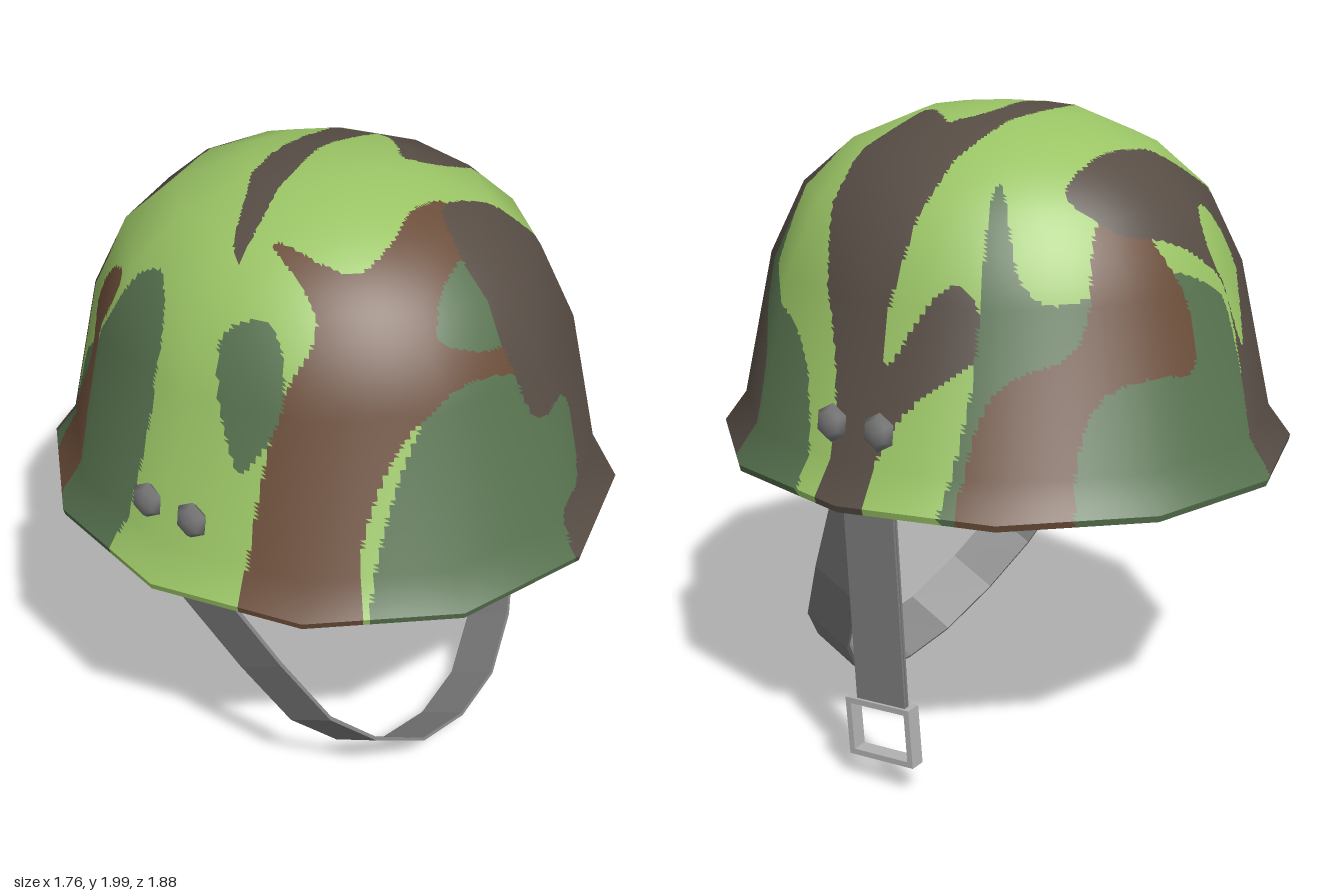
import * as THREE from 'three';

const mat = (name, color) => {
  const m = new THREE.MeshStandardMaterial({ color });
  m.name = name;
  return m;
};
const LIGHT = 0, GREEN = 1, BROWN = 2, DARK = 3;
const DEG = Math.PI / 180, SQUASH = 0.935, SIDES = 12;

// Dome profile from crown to rim: radius, height, then distance along the surface.
// The last point lies below the rim so that patches can run off the edge.
const PROFILE = [[0, 2], [0.26, 1.97], [0.48, 1.88], [0.645, 1.74], [0.76, 1.51], [0.865, 1.04], [0.94, 0.94], [0.94, 0]];
PROFILE.forEach((p, i) => {
  const q = PROFILE[i - 1];
  p[2] = i ? q[2] + Math.hypot(p[0] - q[0], p[1] - q[1]) : 0;
});

// Interpolates one profile column from another
function lookup(from, to, value) {
  const sign = from === 1 ? -1 : 1;
  for (let i = 1; i < PROFILE.length; i++) {
    const a = PROFILE[i - 1], b = PROFILE[i];
    if (sign * value <= sign * b[from] || i === PROFILE.length - 1) {
      const t = b[from] === a[from] ? 0 : (value - a[from]) / (b[from] - a[from]);
      return a[to] + (b[to] - a[to]) * Math.min(1, Math.max(0, t));
    }
  }
}

// Points on the dome, flattened to a disc: by angle (P), front (F), side (R) or plan (T) position
const flat = (angle, s) => [s * Math.sin(angle), s * Math.cos(angle)];
const clampAsin = (v) => Math.asin(Math.max(-1, Math.min(1, v)));
const place = {
  P: (deg, y) => flat(deg * DEG, lookup(1, 2, y)),
  F: (x, y) => flat(clampAsin(x / (SQUASH * lookup(1, 0, y))), lookup(1, 2, y)),
  R: (z, y) => flat(Math.PI / 2 - clampAsin(z / lookup(1, 0, y)), lookup(1, 2, y)),
  T: (x, z) => {
    const angle = Math.atan2(x / SQUASH, z);
    const part = ((angle / DEG + 360) % 30) - 15;
    const facet = Math.cos(15 * DEG) / Math.cos(part * DEG);
    return flat(angle, lookup(0, 2, Math.hypot(x / SQUASH, z) / facet));
  },
};

// Smooth closed camouflage patch
function patch(color, ...parts) {
  const pts = [];
  for (let i = 0; i < parts.length; i += 2) {
    const list = parts[i + 1];
    for (let k = 0; k < list.length; k += 2) {
      const [u, v] = place[parts[i]](list[k], list[k + 1]);
      pts.push(new THREE.Vector3(u, v, 0));
    }
  }
  const outline = new THREE.CatmullRomCurve3(pts, true, 'centripetal').getPoints(pts.length * 7);
  return { color, outline, box: new THREE.Box3().setFromPoints(outline) };
}

const frontPatches = () => [
  patch(GREEN, 'F', [0.33, 1.72], 'R', [0.54, 1.52, 0.24, 1.26, 0.2, 0.4], 'F', [0.3, 0.1, -0.66, 0.4, -0.4, 1.5]),
  patch(BROWN, 'P', [289, 0.5, 293, 1.5], 'T', [-0.5, 0.33, -0.4, 0.1, -0.34, 0.35, 0.05, 0.36],
    'F', [0.06, 1.52, -0.38, 1.52, -0.61, 1.05, -0.64, 0.5]),
  patch(GREEN, 'F', [-0.29, 1.7, -0.02, 1.83, 0.02, 1.66, -0.15, 1.62]),
  patch(DARK, 'T', [0, 0.4, 0.3, 0.47], 'R', [0.61, 1.39, 0.5, 1.18, 0.61, 0.5],
    'F', [0.02, 0.4, 0, 1.02, 0.2, 1.06, 0.2, 1.32, -0.06, 1.41]),
  // stripe over the crown and down to the rivets
  patch(DARK, 'T', [-0.48, 0.04, 0.08, -0.05, 0.26, 0.02, 0.14, 0.18],
    'R', [0.25, 1.7, 0.09, 1.18, 0.1, 0.5, -0.07, 0.5, -0.08, 1.07, -0.36, 1.4, -0.26, 1.57, -0.08, 1.33, -0.1, 1.82],
    'T', [-0.12, -0.15]),
];

const backPatches = () => [
  patch(GREEN, 'R', [-0.27, 1.83, -0.42, 1.58], 'T', [0.5, -0.5], 'P', [184, 1.4, 182, 0.3, 145, 0.3, 108, 0.5], 'R', [-0.34, 1.3]),
  patch(BROWN, 'P', [163, 1.65, 148, 1.74], 'R', [-0.58, 1.4, -0.38, 1.24, -0.36, 0.5, -0.6, 0.5, -0.63, 1.22], 'P', [168, 1.3]),
  patch(DARK, 'T', [0.3, -0.58, 0.34, -0.43, -0.12, -0.47], 'P', [209, 1.74, 211, 1.4, 209, 0.5, 182, 0.5, 187, 1.36, 176, 1.6]),
  patch(LIGHT, 'P', [191, 1.72, 203, 1.6, 193, 1.29, 182, 1.58]),
  patch(GREEN, 'P', [249, 1.76, 261, 1.4, 248, 0.5, 214, 0.5, 214, 1.25, 232, 1.46]),
  patch(BROWN, 'P', [218, 1.58, 233, 1.66, 231, 1.3, 236, 0.5, 213, 1.05, 224, 1.36]),
  patch(GREEN, 'P', [277, 1.68, 290, 1.73, 294, 1.5, 285, 1.32]),
];

function inside(outline, u, v) {
  let hit = false;
  for (let i = 0, j = outline.length - 1; i < outline.length; j = i++) {
    const a = outline[i], b = outline[j];
    if ((a.y > v) !== (b.y > v) && u < ((b.x - a.x) * (v - a.y)) / (b.y - a.y) + a.x) hit = !hit;
  }
  return hit;
}

// Sweeps a profile strip round the twelve sides, sorting triangles by colour
function sweep(strip, step, perSide, patches, buckets) {
  const segNormal = (i) => {
    const a = strip[i], b = strip[i + 1];
    return new THREE.Vector2(a[1] - b[1], b[0] - a[0]).normalize();
  };
  const normals = strip.map((p, i) => {
    const n = segNormal(Math.min(i, strip.length - 2));
    if (i > 0 && i < strip.length - 1) n.add(segNormal(i - 1));
    if (p[0] === 0) n.x = 0;
    return n.normalize();
  });
  const rows = [];
  for (let i = 0; i < strip.length - 1; i++) {
    const a = strip[i], b = strip[i + 1];
    const n = Math.max(1, Math.round(Math.hypot(b[0] - a[0], b[1] - a[1]) / step));
    for (let k = i ? 1 : 0; k <= n; k++) {
      rows.push({ p: a.map((v, c) => v + ((b[c] - v) * k) / n), n: normals[i].clone().lerp(normals[i + 1], k / n) });
    }
  }
  const corner = (j) => [Math.sin((j * 2 * Math.PI) / SIDES), Math.cos((j * 2 * Math.PI) / SIDES)];
  const point = (row, j) => {
    const side = Math.floor(j / perSide), t = j / perSide - side;
    const a = corner(side), b = corner(side + 1);
    const x = a[0] + (b[0] - a[0]) * t, z = a[1] + (b[1] - a[1]) * t, len = Math.hypot(x, z);
    const n = new THREE.Vector3((x / len / SQUASH) * row.n.x, row.n.y, (z / len) * row.n.x).normalize();
    return { pos: [row.p[0] * x * SQUASH, row.p[1], row.p[0] * z], n: n.toArray(), u: (row.p[2] * x) / len, v: (row.p[2] * z) / len };
  };
  const add = (...tri) => {
    const u = (tri[0].u + tri[1].u + tri[2].u) / 3, v = (tri[0].v + tri[1].v + tri[2].v) / 3;
    const found = patches.find(({ box, outline }) =>
      u > box.min.x && u < box.max.x && v > box.min.y && v < box.max.y && inside(outline, u, v));
    const bucket = buckets[found ? found.color : LIGHT];
    for (const c of tri) { bucket.pos.push(...c.pos); bucket.nor.push(...c.n); }
  };
  for (let i = 0; i < rows.length - 1; i++) {
    for (let j = 0; j < SIDES * perSide; j++) {
      const a = point(rows[i], j), b = point(rows[i + 1], j), c = point(rows[i + 1], j + 1), d = point(rows[i], j + 1);
      if (rows[i + 1].p[0] > 0) add(a, b, c);
      if (rows[i].p[0] > 0) add(a, c, d);
    }
  }
}

export function createModel() {
  const model = new THREE.Group();
  model.name = 'helmet';
  const camo = [mat('light green', 0x9ac465), mat('forest green', 0x57724f), mat('brown', 0x6b4d39), mat('dark brown', 0x574d45)];
  const strapMat = mat('strap grey', 0x808080), buckleMat = mat('buckle grey', 0xb4b4b4), rivetMat = mat('rivet grey', 0x777777);
  const add = (name, geometry, material, parent = model) => {
    const mesh = new THREE.Mesh(geometry, material);
    mesh.name = name;
    parent.add(mesh);
    return mesh;
  };

  // Camouflaged shell: outside, rim and lining
  const outer = PROFILE.slice(0, -1), rim = outer[outer.length - 1], lip = [0.935, 0.92, rim[2]];
  const lining = outer.map(([r, y, s]) => [Math.max(0, r - 0.025), y - (y === rim[1] ? 0.015 : 0.025), s]).reverse();
  const buckets = camo.map(() => ({ pos: [], nor: [] }));
  const patches = [...frontPatches(), ...backPatches()].reverse();
  sweep(outer, 0.013, 24, patches, buckets);
  sweep([rim, lip], 0.03, 24, patches, buckets);
  sweep([lip, lining[0]], 0.03, 24, patches, buckets);
  sweep(lining, 0.026, 12, patches, buckets);
  const shell = new THREE.Group();
  shell.name = 'shell';
  model.add(shell);
  buckets.forEach(({ pos, nor }, i) => {
    const g = new THREE.BufferGeometry();
    g.setAttribute('position', new THREE.Float32BufferAttribute(pos, 3));
    g.setAttribute('normal', new THREE.Float32BufferAttribute(nor, 3));
    add(['lightCamo', 'greenCamo', 'brownCamo', 'darkCamo'][i], g, camo[i], shell);
  });

  // Rivets, two on each side
  for (const side of [-1, 1]) for (const z of [-0.085, 0.085]) {
    const g = new THREE.SphereGeometry(0.058, 6, 4).rotateX(Math.PI / 2).rotateZ(Math.PI / 2).rotateY(Math.PI / 2);
    const rivet = add('rivet', g, rivetMat);
    rivet.scale.x = 0.5;
    rivet.position.set(side * 0.78, 1.15, z);
    rivet.rotation.z = side * 0.12;
  }

  // Chin strap: U-shaped band in a plane leaning forward
  const half = [[0, 0], [0.21, 0.035], [0.4, 0.16], [0.54, 0.325], [0.635, 0.58], [0.775, 1.04]];
  const path = [...half.slice(1).reverse().map(([x, d]) => [-x, d]), ...half];
  const inner = path.map(([x, d]) => [x * 0.985, d + 0.01]).reverse();
  const band = new THREE.Shape([...path, ...inner].map(([x, d]) => new THREE.Vector2(x, d)));
  const chin = new THREE.ExtrudeGeometry(band, { depth: 0.18, bevelEnabled: false }).translate(0, 0, -0.09);
  chin.rotateX(-28 * DEG).translate(0, 0.05, 0.48);
  add('chinStrap', chin, strapMat);

  // Loose strap, doubled through the buckle
  for (const offset of [-0.006, 0.006]) {
    const strap = add('looseStrap', new THREE.BoxGeometry(0.008, 0.72, 0.18), strapMat);
    strap.position.set(0.77 + offset, 0.625, -0.052);
    strap.rotation.set(0.022, 0, -0.035);
  }

  // Square buckle frame
  const rect = (Type, w, h) => new Type([[-w, -h], [w, -h], [w, h], [-w, h]].map(([x, y]) => new THREE.Vector2(x, y)));
  const frame = rect(THREE.Shape, 0.119, 0.094);
  frame.holes.push(rect(THREE.Path, 0.1, 0.076));
  const buckle = new THREE.ExtrudeGeometry(frame, { depth: 0.05, bevelEnabled: false }).translate(0, 0, -0.025);
  buckle.rotateZ(0.07).rotateY(Math.PI / 2);
  add('buckle', buckle, buckleMat).position.set(0.752, 0.19, -0.057);

  return model;
}
